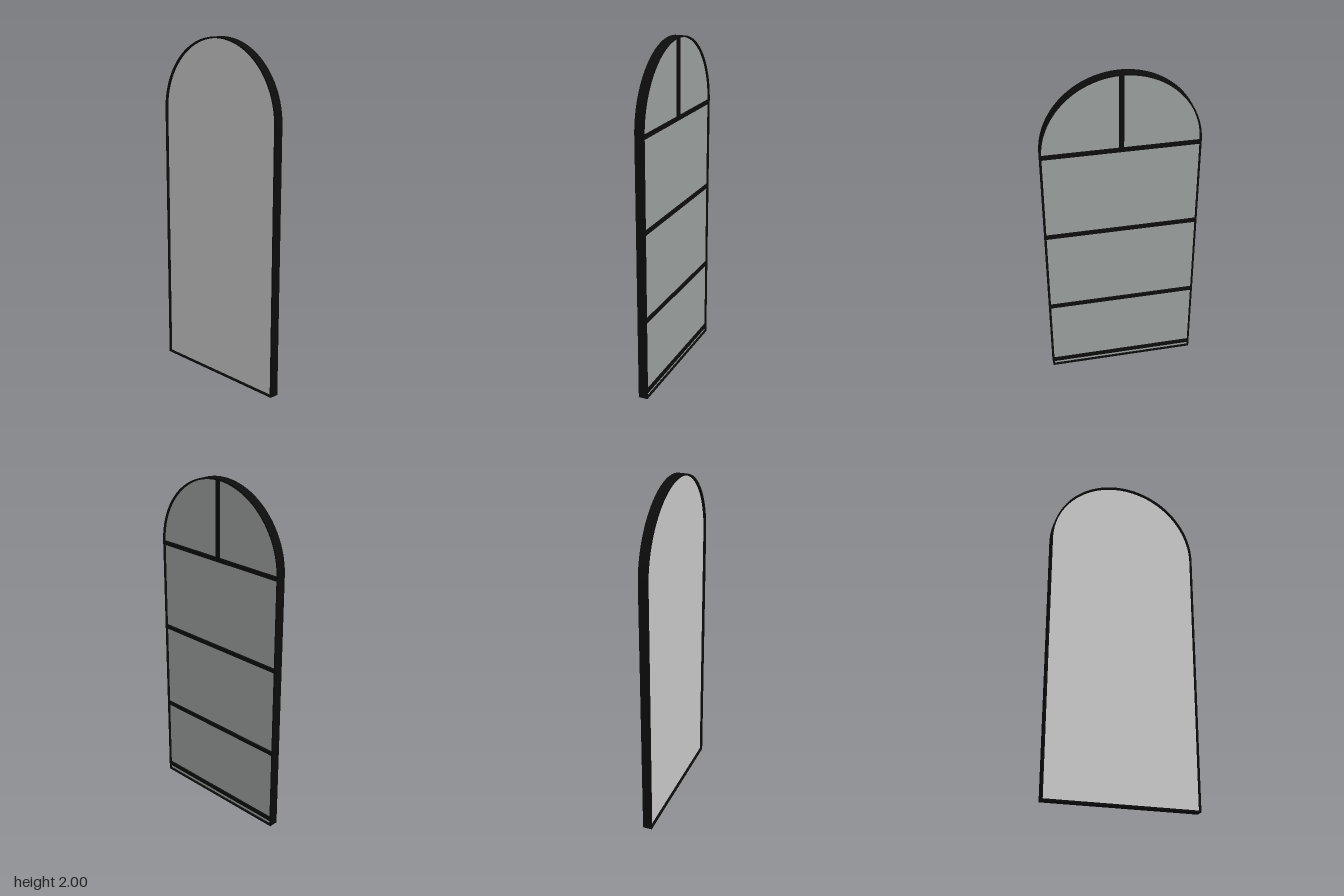
import * as THREE from 'three';

const HALF = 0.443;          // half width, also the arch radius
const SPRING = 2 - HALF;     // height where the arch begins
const RIM = 0.009;           // visible width of the frame
const BACK = -0.027, FRONT = 0.028;

const black = new THREE.MeshStandardMaterial({ color: 0x0c0c0c });
const glassGrey = new THREE.MeshStandardMaterial({ color: 0xcccccc });
const boardGrey = new THREE.MeshStandardMaterial({ color: 0x9ca19f });

// Arched outline, moved inward by an inset
function arch(inset, PathType = THREE.Shape) {
  const r = HALF - inset;
  const p = new PathType();
  p.moveTo(-r, inset);
  p.lineTo(r, inset);
  p.lineTo(r, SPRING);
  p.absarc(0, SPRING, r, 0, Math.PI, false);
  p.lineTo(-r, inset);
  return p;
}

// Extrude a shape between two depths
function slab(name, shape, z0, z1, material) {
  const geometry = new THREE.ExtrudeGeometry(shape, { depth: z1 - z0, bevelEnabled: false, curveSegments: 48 });
  geometry.translate(0, 0, z0);
  const mesh = new THREE.Mesh(geometry, material);
  mesh.name = name;
  return mesh;
}

function bar(name, width, height, x, y) {
  const z0 = BACK + 0.001, z1 = -0.014;
  const mesh = new THREE.Mesh(new THREE.BoxGeometry(width, height, z1 - z0), black);
  mesh.position.set(x, y, (z0 + z1) / 2);
  mesh.name = name;
  return mesh;
}

export function createModel() {
  const model = new THREE.Group();
  model.name = 'archedMirror';

  // Thin frame around the edge
  const outline = arch(0);
  outline.holes.push(arch(RIM, THREE.Path));
  model.add(slab('frame', outline, BACK, FRONT, black));

  // Mirror glass in front and backing board behind it
  model.add(slab('mirrorGlass', arch(RIM - 0.001), 0.002, 0.014, glassGrey));
  model.add(slab('backingBoard', arch(RIM - 0.001), -0.016, 0.002, boardGrey));

  // Braces across the back
  const inner = 2 * (HALF - RIM);
  for (const y of [0.045, 0.495, 1.02, 1.55]) model.add(bar('crossBrace', inner, 0.024, 0, y));
  const top = 2 - RIM;
  model.add(bar('archBrace', 0.026, top - 1.55, 0, (top + 1.55) / 2));

  // Small screws in the top and bottom braces
  const screwGeometry = new THREE.CylinderGeometry(0.005, 0.005, 0.004, 16).rotateX(Math.PI / 2);
  for (const y of [0.045, 1.55]) {
    for (const side of [-1, 1]) {
      const screw = new THREE.Mesh(screwGeometry, black);
      screw.position.set(side * 0.322, y, BACK + 0.001);
      screw.name = 'screw';
      model.add(screw);
    }
  }
  return model;
}
